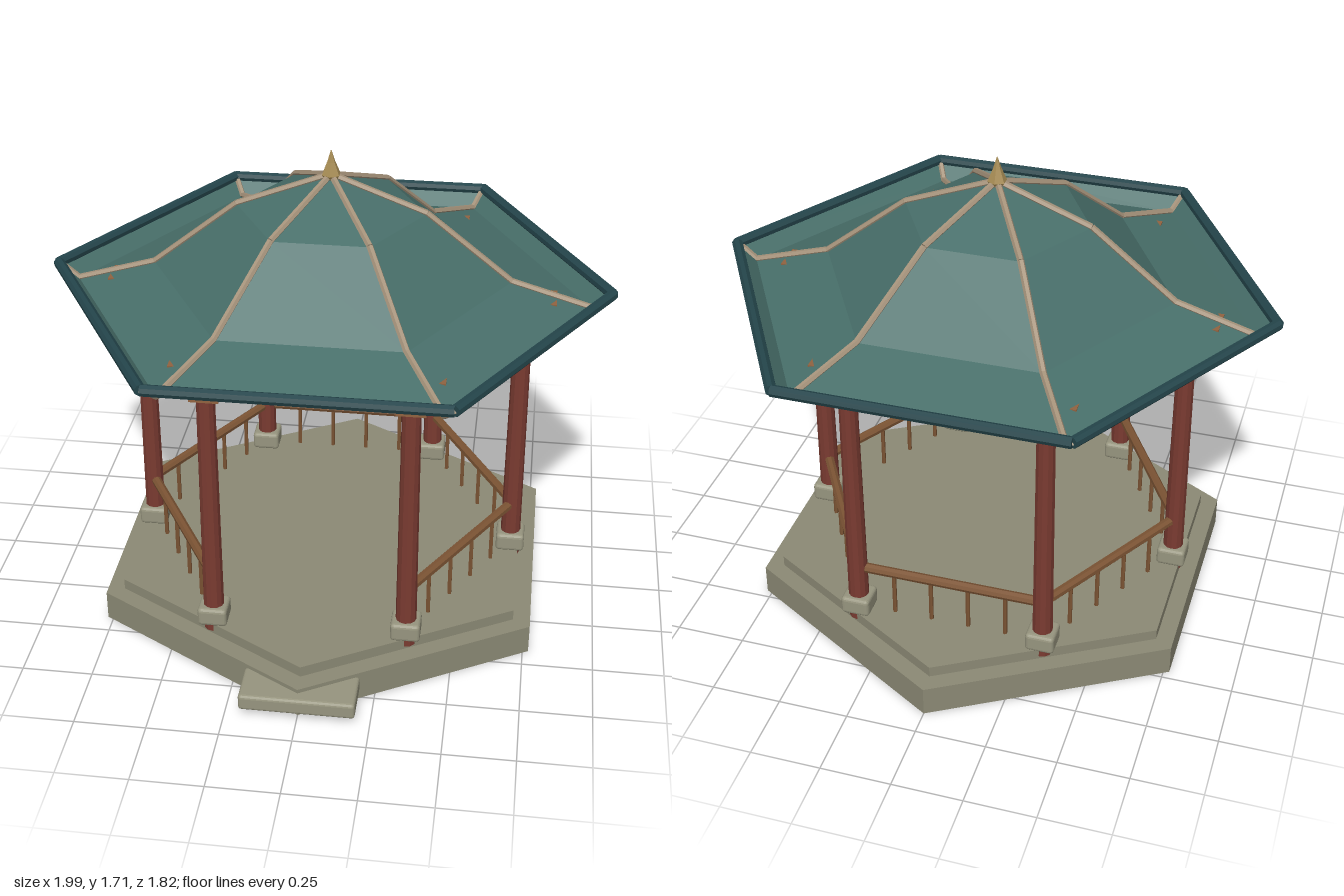
import * as THREE from 'three';
import { RoundedBoxGeometry } from 'three/addons/geometries/RoundedBoxGeometry.js';

const mat = (name, color, opts = {}) => {
  const m = new THREE.MeshStandardMaterial({ color, ...opts });
  m.name = name;
  return m;
};

export function createModel() {
  const flat = { flatShading: true };
  const stone = mat('stone', 0x8c8a75, flat);
  const paleStone = mat('pale stone', 0x97957f, flat);
  const redWood = mat('red wood', 0x7a3b31, flat);
  const bracketWood = mat('bracket wood', 0x916340, flat);
  const railWood = mat('rail wood', 0x7c5434, flat);
  const tile = mat('roof tile', 0x486f6a, { flatShading: true, side: THREE.DoubleSide });
  const trim = mat('eave trim', 0x24454b, flat);
  const ridgeClay = mat('ridge clay', 0xa5927a, flat);
  const paper = mat('lantern paper', 0xb39c62, flat);
  const gold = mat('finial gold', 0xa88d55, flat);

  const model = new THREE.Group();
  model.name = 'pavilion';
  const body = new THREE.Group();
  body.name = 'hexagonalPavilion';
  body.position.z = -0.021;
  model.add(body);

  const add = (name, geometry, material, x = 0, y = 0, z = 0) => {
    const mesh = new THREE.Mesh(geometry, material);
    mesh.name = name;
    mesh.position.set(x, y, z);
    body.add(mesh);
    return mesh;
  };
  // Round bar between two points
  const up = new THREE.Vector3(0, 1, 0);
  const bar = (name, a, b, r, material, sides = 8) => {
    const d = b.clone().sub(a);
    const mesh = add(name, new THREE.CylinderGeometry(r, r, d.length(), sides), material);
    mesh.position.copy(a).add(b).multiplyScalar(0.5);
    mesh.quaternion.setFromUnitVectors(up, d.normalize());
    return mesh;
  };
  // Corner k of a hexagon with corners on the x axis
  const corner = (k, r, y) => {
    const a = (k * Math.PI) / 3;
    return new THREE.Vector3(Math.cos(a) * r, y, Math.sin(a) * r);
  };

  // Two-tier platform and entrance step
  add('lowerPlatform', new THREE.CylinderGeometry(0.89, 0.89, 0.11, 6), stone, 0, 0.055, 0);
  add('upperPlatform', new THREE.CylinderGeometry(0.82, 0.82, 0.04, 6), stone, 0, 0.13, 0);
  add('entranceStep', new RoundedBoxGeometry(0.4, 0.06, 0.16, 2, 0.012), paleStone, 0, 0.065, 0.851);

  // Columns, plinths and stepped brackets
  const layers = [[0.05, 0.04], [0.07, 0.05], [0.09, 0.05], [0.11, 0.055]];
  for (let k = 0; k < 6; k++) {
    const p = corner(k, 0.68, 0);
    add('column', new THREE.CylinderGeometry(0.032, 0.037, 1.0, 12), redWood, p.x, 0.62, p.z);
    add('plinth', new RoundedBoxGeometry(0.104, 0.07, 0.104, 2, 0.014), paleStone, p.x, 0.185, p.z);
    layers.forEach(([hx, hz], i) => {
      add('bracketLayer', new THREE.BoxGeometry(hx * 2, 0.035, hz * 2), bracketWood, p.x, 1.0775 + i * 0.035, p.z);
    });
  }

  // Beams on all sides, railings on all but the front
  for (let k = 0; k < 6; k++) {
    bar('beam', corner(k, 0.68, 1.117), corner(k + 1, 0.68, 1.117), 0.037, redWood, 10);
    if (k === 1) continue;
    const a = corner(k, 0.68, 0.338), b = corner(k + 1, 0.68, 0.338);
    bar('handrail', a, b, 0.018, railWood, 8);
    for (let i = 1; i < 5; i++) {
      const q = a.clone().lerp(b, i / 5);
      add('baluster', new THREE.CylinderGeometry(0.008, 0.008, 0.175, 6), railWood, q.x, 0.25, q.z);
    }
  }

  // Roof skin: corner radius and height, eave to peak
  const profile = [[0.98, 1.225], [0.91, 1.167], [0.63, 1.25], [0.33, 1.49], [0.003, 1.615]];
  add('roof', new THREE.LatheGeometry(profile.map(([r, y]) => new THREE.Vector2(r, y)), 6, Math.PI / 6), tile);

  // Ridges and eave trim
  for (let k = 0; k < 6; k++) {
    for (let i = 0; i < profile.length - 1; i++) {
      const [r0, y0] = profile[i], [r1, y1] = profile[i + 1];
      bar('ridge', corner(k, r0, y0 + 0.003), corner(k, r1, y1 + 0.003), 0.012, ridgeClay, 6);
    }
    bar('eaveTrim', corner(k, 0.98, 1.225), corner(k + 1, 0.98, 1.225), 0.02, trim, 8);
  }

  // Pointed finial
  const finial = [[0.001, 1.585], [0.016, 1.592], [0.034, 1.62], [0.015, 1.665], [0.001, 1.708]];
  add('finial', new THREE.LatheGeometry(finial.map(([r, y]) => new THREE.Vector2(r, y)), 6), gold);

  // Octagonal lantern
  add('lanternBody', new THREE.CylinderGeometry(0.092, 0.092, 0.15, 8), paper, 0, 0.945, 0);
  for (const y of [0.862, 1.028]) {
    add('lanternCap', new THREE.CylinderGeometry(0.1, 0.1, 0.025, 8), bracketWood, 0, y, 0);
  }

  return model;
}
